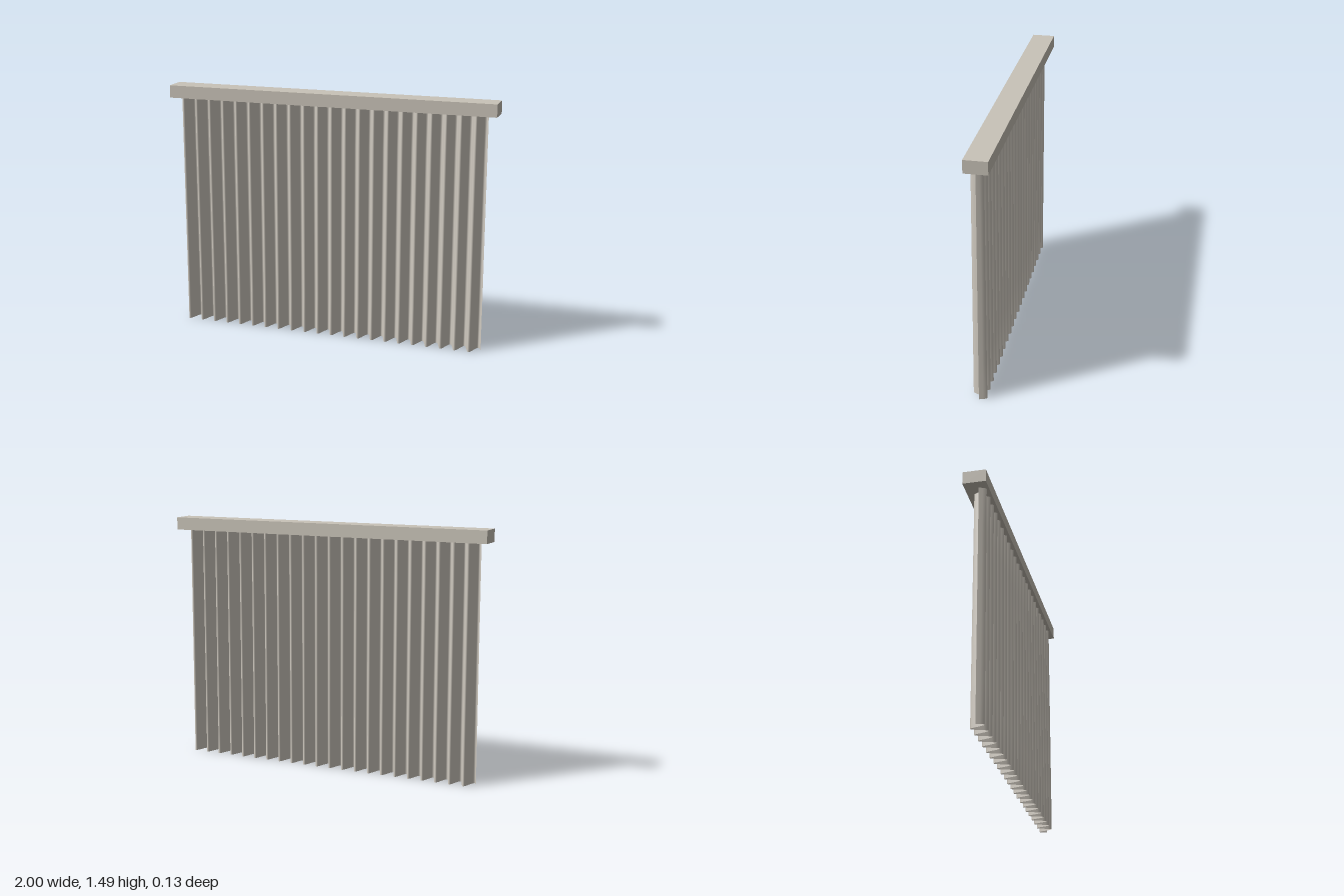
import * as THREE from 'three';

const HEIGHT = 1.49, RAIL_HEIGHT = 0.075, RAIL_DEPTH = 0.134;
const CURTAIN_WIDTH = 1.886, PLEATS = 22, STEPS = 12;

// Hanging cloth: a plane folded into sine pleats that open slightly towards the hem
function pleatedCloth(height) {
  const geometry = new THREE.PlaneGeometry(CURTAIN_WIDTH, height, PLEATS * STEPS, 6);
  geometry.translate(0, height / 2, 0);
  const p = geometry.attributes.position;
  for (let i = 0; i < p.count; i++) {
    const u = p.getX(i) / CURTAIN_WIDTH + 0.5;
    const depth = 0.044 - 0.003 * (p.getY(i) / height);
    p.setZ(i, 0.0125 + depth * Math.sin(u * PLEATS * Math.PI * 2));
  }
  geometry.computeVertexNormals();
  return geometry;
}

export function createModel() {
  const group = new THREE.Group();
  group.name = 'pleatedCurtain';

  const railMaterial = new THREE.MeshStandardMaterial({ color: 0xc9c3b8 });
  railMaterial.name = 'warm grey rail';
  const clothMaterial = new THREE.MeshStandardMaterial({ color: 0xd3cdc3, side: THREE.DoubleSide });
  clothMaterial.name = 'pale linen';

  // Box rail across the top
  const rail = new THREE.Mesh(new THREE.BoxGeometry(2, RAIL_HEIGHT, RAIL_DEPTH), railMaterial);
  rail.name = 'rail';
  rail.position.y = HEIGHT - RAIL_HEIGHT / 2;
  group.add(rail);

  // Curtain hanging from the underside of the rail
  const curtain = new THREE.Mesh(pleatedCloth(HEIGHT - RAIL_HEIGHT), clothMaterial);
  curtain.name = 'curtain';
  group.add(curtain);

  return group;
}
